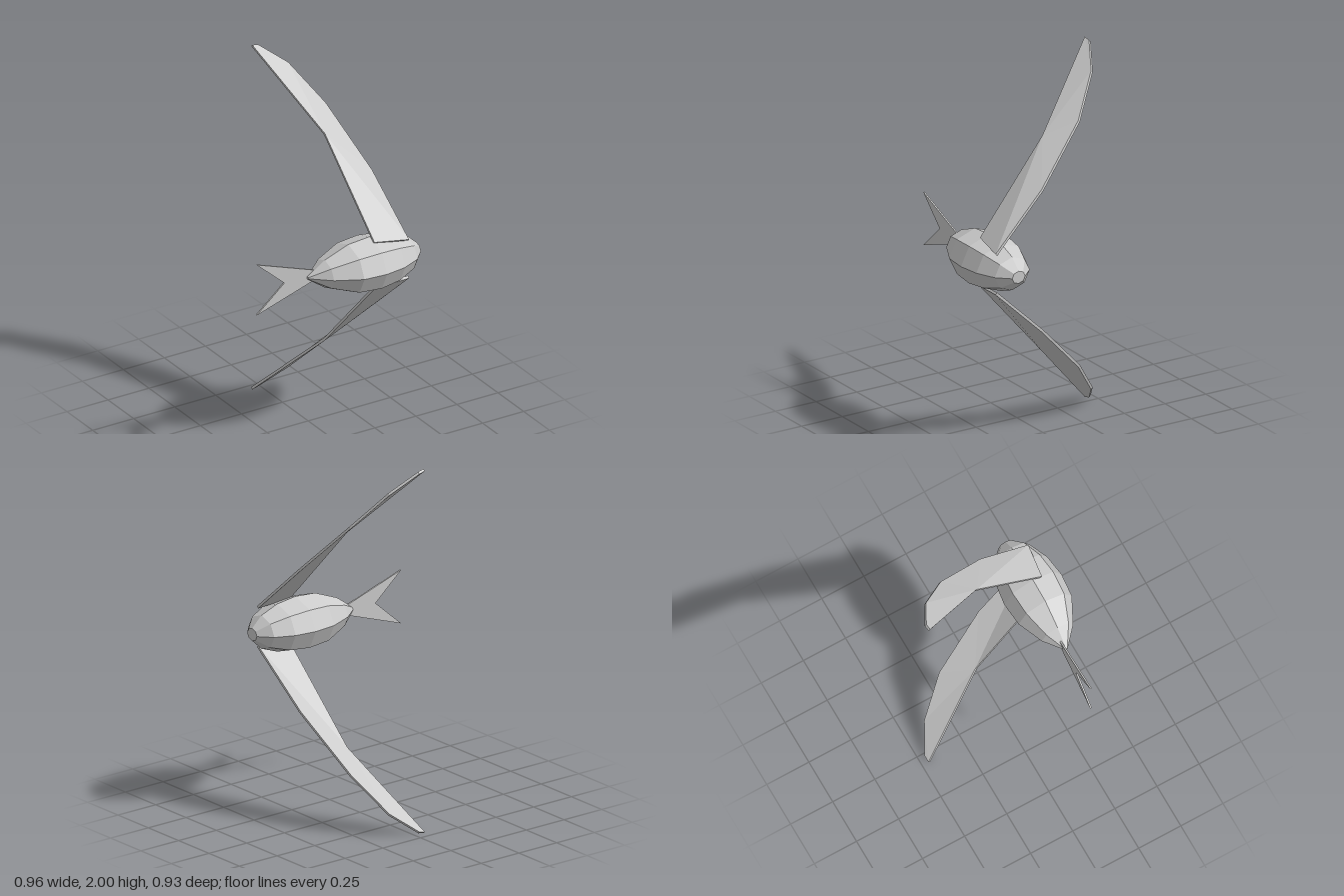
import * as THREE from 'three';

const material = new THREE.MeshStandardMaterial({ color: 0xcccccc, flatShading: true });

function part(name, geometry) {
  const mesh = new THREE.Mesh(geometry, material);
  mesh.name = name;
  return mesh;
}

// Eight-sided spindle lying along x, slightly flattened in y
function bodyGeometry() {
  const profile = [
    [0, -0.18], [0.009, -0.18], [0.093, -0.08], [0.158, 0.06], [0.17, 0.19],
    [0.153, 0.31], [0.107, 0.415], [0.04, 0.477], [0, 0.477],
  ].map(([r, x]) => new THREE.Vector2(r, x));
  const geometry = new THREE.LatheGeometry(profile, 8);
  geometry.rotateZ(-Math.PI / 2);
  geometry.scale(1, 0.855, 1);
  // The tail end bends a little towards the back
  const p = geometry.attributes.position;
  for (let i = 0; i < p.count; i++) {
    p.setZ(i, p.getZ(i) - 0.05 * Math.max(0, 0.05 - p.getX(i)));
  }
  geometry.translate(0, 1, 0.295);
  geometry.computeVertexNormals();
  return geometry;
}

// Thin swept wing: outline runs root, leading edge, tip, trailing edge.
// side = 1 is the upper wing, side = -1 its mirror image.
function wingGeometry(side) {
  const outline = [
    [0.187, 1.13, 0.342], [0.38, 1.107, 0.37], [0.345, 1.39, 0.065],
    [0.245, 1.68, -0.225], [0.117, 1.88, -0.386], [-0.02, 1.987, -0.461],
    [-0.057, 1.995, -0.459], [0.143, 1.595, -0.07],
  ];
  const faces = [[0, 1, 7], [7, 1, 2], [7, 2, 3], [7, 3, 4], [7, 4, 6], [4, 5, 6]];
  const half = 0.005;
  const positions = [];
  const corner = (i, f) => {
    const [x, y, z] = outline[i];
    return [x, 1 + side * (y + f * half - 1), z + f * half];
  };
  const triangle = (a, b, c) => {
    positions.push(...a, ...(side > 0 ? b : c), ...(side > 0 ? c : b));
  };
  for (const [a, b, c] of faces) {
    triangle(corner(a, 1), corner(b, 1), corner(c, 1));
    triangle(corner(a, -1), corner(c, -1), corner(b, -1));
  }
  outline.forEach((_, a) => {
    const b = (a + 1) % outline.length;
    triangle(corner(a, -1), corner(b, -1), corner(b, 1));
    triangle(corner(a, -1), corner(b, 1), corner(a, 1));
  });
  const geometry = new THREE.BufferGeometry();
  geometry.setAttribute('position', new THREE.Float32BufferAttribute(positions, 3));
  geometry.computeVertexNormals();
  return geometry;
}

// Flat forked tail, leaning slightly back towards its tips
function tailGeometry() {
  const shape = new THREE.Shape([
    [-0.135, 0.975], [-0.135, 1.032], [-0.48, 1.15], [-0.315, 1.003], [-0.48, 0.857],
  ].map(([x, y]) => new THREE.Vector2(x, y)));
  const geometry = new THREE.ExtrudeGeometry(shape, { depth: 0.009, bevelEnabled: false });
  const p = geometry.attributes.position;
  for (let i = 0; i < p.count; i++) {
    p.setZ(i, p.getZ(i) + 0.269 + 0.036 * (p.getX(i) + 0.135));
  }
  geometry.computeVertexNormals();
  return geometry;
}

export function createModel() {
  const model = new THREE.Group();
  model.name = 'bird';
  model.add(
    part('body', bodyGeometry()),
    part('upperWing', wingGeometry(1)),
    part('lowerWing', wingGeometry(-1)),
    part('forkedTail', tailGeometry()),
  );
  return model;
}
